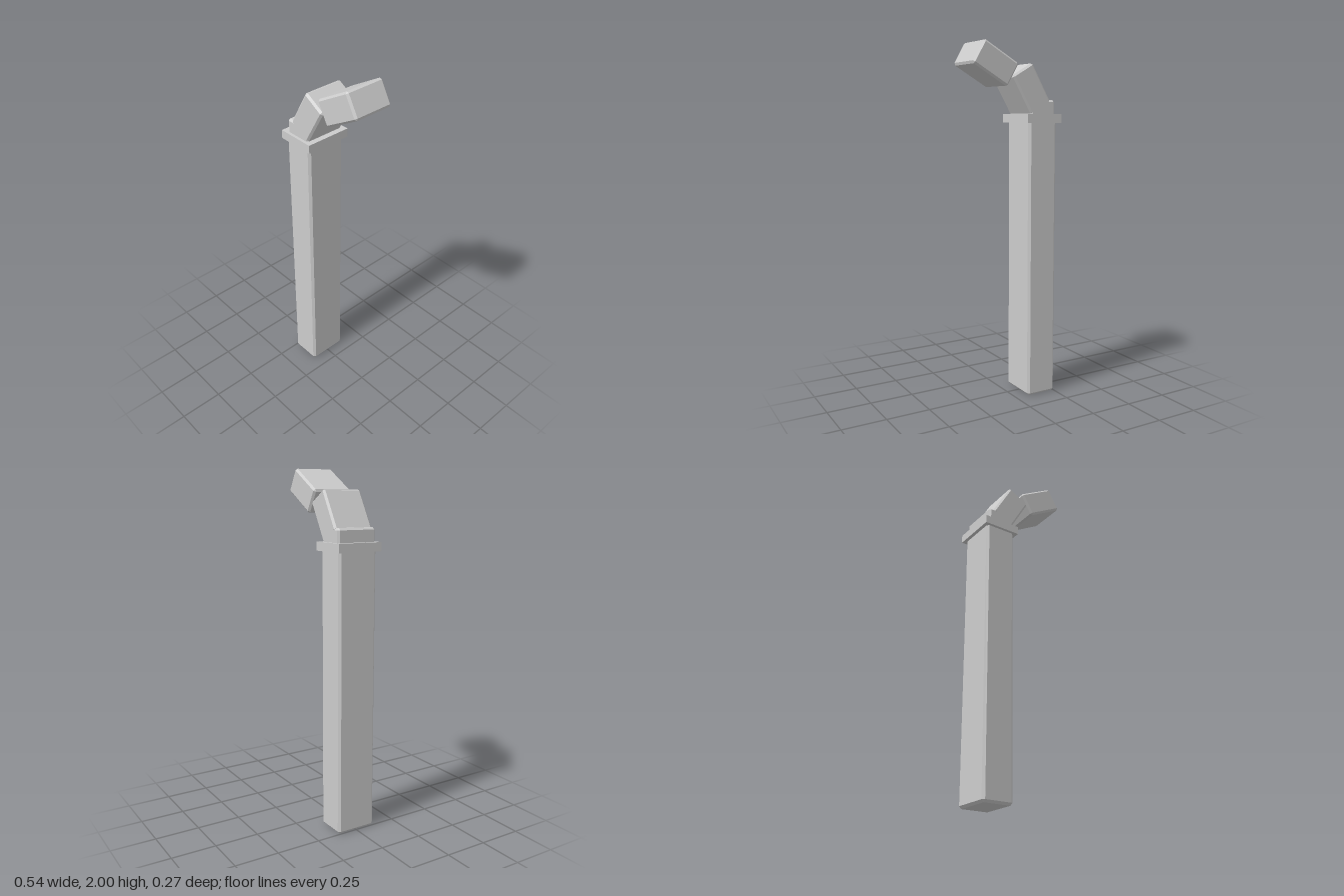
import * as THREE from 'three';
import { ConvexGeometry } from 'three/addons/geometries/ConvexGeometry.js';

// Box with every edge cut by a single flat chamfer c
function chamferBox(w, h, d, c) {
  const pts = [];
  for (const x of [-1, 1]) for (const y of [-1, 1]) for (const z of [-1, 1]) {
    for (let axis = 0; axis < 3; axis++) {
      const p = [w / 2 - c, h / 2 - c, d / 2 - c];
      p[axis] += c;
      pts.push(new THREE.Vector3(x * p[0], y * p[1], z * p[2]));
    }
  }
  return new ConvexGeometry(pts);
}

export function createModel() {
  const group = new THREE.Group();
  const grey = new THREE.MeshStandardMaterial({ color: 0xcccccc });
  grey.name = 'light grey';

  function add(name, geometry, x, y, tilt = 0) {
    const mesh = new THREE.Mesh(geometry, grey);
    mesh.name = name;
    mesh.position.set(x, y, 0);
    mesh.rotation.z = -THREE.MathUtils.degToRad(tilt);
    group.add(mesh);
  }

  const postX = -0.161;
  const depth = 0.234;

  // Upright post, square collar and the short stub above it
  add('post', chamferBox(0.18, 1.6, depth, 0.013), postX, 0.8);
  add('collar', new THREE.BoxGeometry(0.22, 0.048, 0.267), postX, 1.592);
  add('stub', chamferBox(0.156, 0.15, depth, 0.011), postX, 1.617);

  // Two equal blocks bending over towards +x
  add('neck', chamferBox(0.144, 0.242, depth, 0.011), -0.0895, 1.751, 30);
  add('head', chamferBox(0.144, 0.242, depth, 0.011), 0.134, 1.882, 60);

  return group;
}
